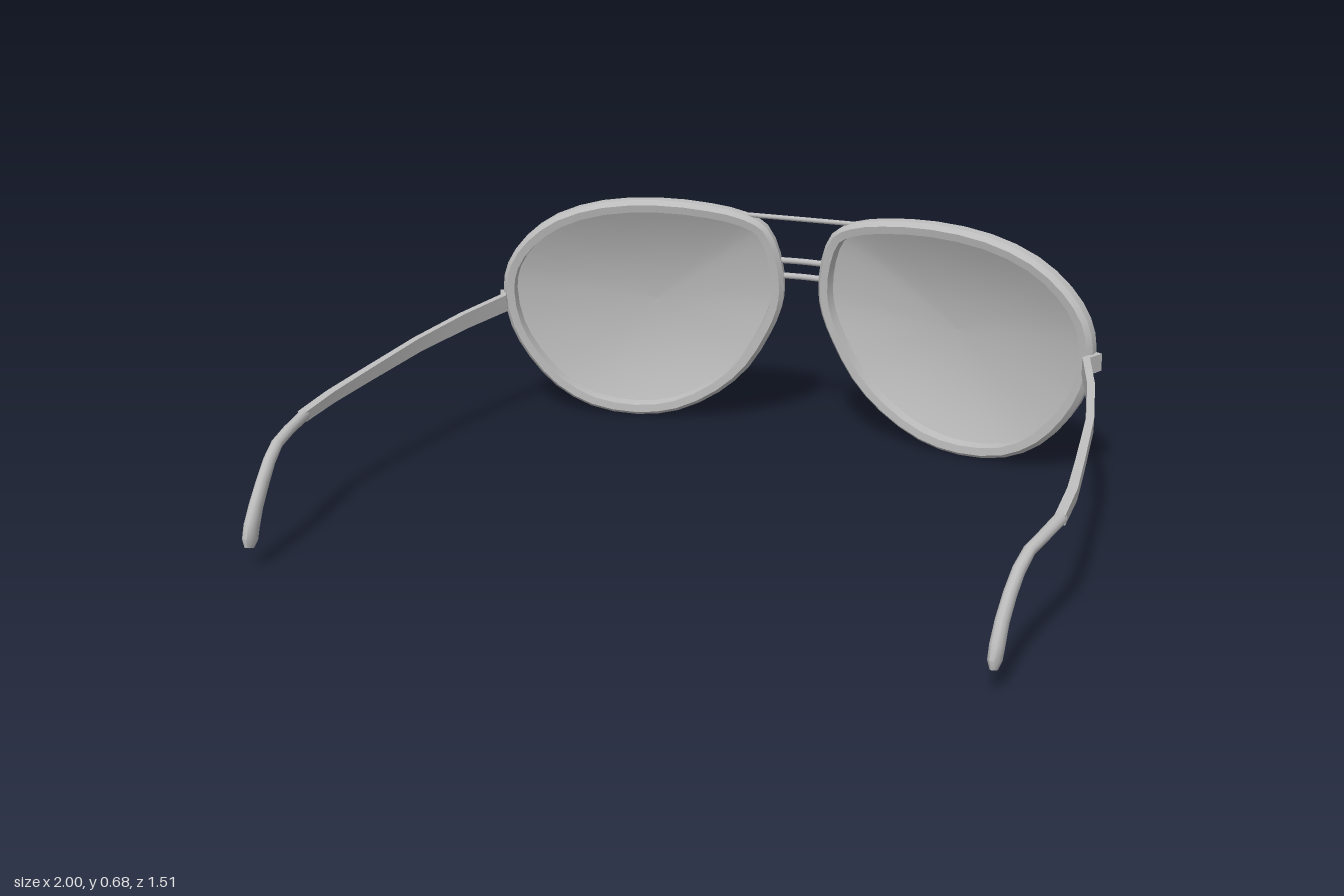
import * as THREE from 'three';
import { toCreasedNormals } from 'three/addons/utils/BufferGeometryUtils.js';

const V = (x, y, z) => new THREE.Vector3(x, y, z);

// Skin a list of vertex rings; side = -1 mirrors across x
function loft(rings, { side = 1, closed = false, caps = true, crease = 0.6 } = {}) {
  const n = rings[0].length, m = rings.length, pos = [], index = [];
  const tri = (a, b, c) => (side > 0 ? index.push(a, b, c) : index.push(a, c, b));
  rings.forEach((r) => r.forEach((p) => pos.push(p.x * side, p.y, p.z)));
  for (let i = 0; i < (closed ? m : m - 1); i++) {
    const a = i * n, b = ((i + 1) % m) * n;
    for (let j = 0; j < n; j++) {
      const k = (j + 1) % n;
      tri(a + j, a + k, b + k);
      tri(a + j, b + k, b + j);
    }
  }
  if (caps && !closed) {
    const e = (m - 1) * n;
    for (let j = 1; j < n - 1; j++) {
      tri(0, j + 1, j);
      tri(e, e + j, e + j + 1);
    }
  }
  const g = new THREE.BufferGeometry();
  g.setAttribute('position', new THREE.Float32BufferAttribute(pos, 3));
  g.setIndex(index);
  g.computeVertexNormals();
  return crease ? toCreasedNormals(g, crease) : g;
}

// Sweep along stations [x, y, z, half width, half height]
function sweep(stations, sides, side) {
  const pts = stations.map((s) => V(s[0], s[1], s[2]));
  const k = sides === 4 ? Math.SQRT2 : 1, off = sides === 4 ? Math.PI / 4 : 0;
  const rings = stations.map((s, i) => {
    const t = pts[Math.min(i + 1, pts.length - 1)].clone().sub(pts[Math.max(i - 1, 0)]).normalize();
    const a = V(0, 1, 0).cross(t).normalize(), b = t.clone().cross(a);
    return Array.from({ length: sides }, (_, j) => {
      const q = off + (j / sides) * Math.PI * 2;
      return pts[i].clone()
        .addScaledVector(a, Math.cos(q) * s[3] * k)
        .addScaledVector(b, Math.sin(q) * s[4] * k);
    });
  });
  return loft(rings, { side, crease: sides === 4 ? 0.6 : 0.9 });
}

// Outer edge of one rim, from the nose over the top, smoothed by a closed curve
const outlineCurve = new THREE.CatmullRomCurve3([
  [0.054, 0.43], [0.065, 0.525], [0.1, 0.607], [0.16, 0.643], [0.26, 0.665], [0.41, 0.676],
  [0.57, 0.662], [0.705, 0.617], [0.8, 0.547], [0.857, 0.467], [0.876, 0.385], [0.861, 0.27],
  [0.813, 0.172], [0.738, 0.083], [0.635, 0.023], [0.5, 0.003], [0.375, 0.023], [0.25, 0.09],
  [0.16, 0.176], [0.095, 0.285], [0.064, 0.36],
].map(([x, y]) => V(x, y, 0)), true);
const outline = outlineCurve.getPoints(42).slice(0, 42);
const planeZ = (x, y) => -0.735 + 0.2 * (x - 0.055) + 0.09 * (y - 0.38);

// Outline point moved outward by u and along the tilted plane's normal by w
function rimPoint(i, u, w) {
  const n = outline.length, p = outline[i];
  const t = outline[(i + 1) % n].clone().sub(outline[(i + n - 1) % n]).normalize();
  const x = p.x - t.y * u, y = p.y + t.x * u;
  return V(x - 0.2 * w, y - 0.09 * w, planeZ(x, y) + w);
}

// Straight outer wall, bevelled edge and a flat lip facing the wearer
const rimSection = [[0, -0.016], [0, 0.01], [-0.012, 0.023], [-0.034, 0.02], [-0.036, -0.01], [-0.02, -0.018]];

function rimGeometry(side) {
  const rings = outline.map((_, i) => rimSection.map(([u, w]) => rimPoint(i, u, w)));
  return loft(rings, { side, closed: true });
}

// Domed lens bulging forward, away from the temples
function lensGeometry(side) {
  const cx = 0.46, cy = 0.35;
  const rings = [1, 0.9, 0.75, 0.6, 0.45, 0.3, 0.15, 0].map((r) =>
    outline.map((_, i) => {
      const e = rimPoint(i, -0.02, 0);
      const x = cx + (e.x - cx) * r, y = cy + (e.y - cy) * r;
      return V(x, y, planeZ(x, y) - 0.01 - 0.073 * (1 - r * r));
    }));
  return loft(rings, { side, caps: false, crease: 0 });
}

const temple = [
  [0.886, 0.35, -0.585, 0.011, 0.024], [0.862, 0.348, -0.535, 0.01, 0.025],
  [0.908, 0.334, -0.365, 0.01, 0.023], [0.946, 0.317, -0.16, 0.01, 0.02],
  [0.97, 0.297, 0.08, 0.011, 0.017], [0.984, 0.284, 0.24, 0.012, 0.015], [0.985, 0.273, 0.38, 0.012, 0.013],
];
const tip = [
  [0.985, 0.274, 0.37, 0.015, 0.016], [0.969, 0.268, 0.47, 0.015, 0.014], [0.953, 0.26, 0.55, 0.015, 0.014],
  [0.943, 0.234, 0.603, 0.015, 0.018], [0.936, 0.195, 0.648, 0.015, 0.022], [0.931, 0.15, 0.69, 0.016, 0.023],
  [0.929, 0.105, 0.719, 0.017, 0.027], [0.928, 0.075, 0.731, 0.016, 0.028], [0.928, 0.056, 0.737, 0.009, 0.017],
];

export function createModel() {
  const model = new THREE.Group();
  model.name = 'sunglasses';
  const grey = new THREE.MeshStandardMaterial({ color: 0xbcbcbc, side: THREE.DoubleSide });
  grey.name = 'grey';
  const add = (name, geometry) => {
    const mesh = new THREE.Mesh(geometry, grey);
    mesh.name = name;
    model.add(mesh);
    return mesh;
  };

  // Paired parts
  for (const [label, s] of [['left', 1], ['right', -1]]) {
    add(label + 'Rim', rimGeometry(s));
    add(label + 'Lens', lensGeometry(s));
    add(label + 'Hinge', new THREE.CylinderGeometry(0.011, 0.011, 0.05, 10)).position.set(0.874 * s, 0.348, -0.568);
    add(label + 'Temple', sweep(temple, 4, s));
    add(label + 'TempleTip', sweep(tip, 10, s));
  }

  // Brow bar and the two nose bridge bars
  const bar = (name, pts, r) =>
    add(name, new THREE.TubeGeometry(new THREE.CatmullRomCurve3(pts), 10, r, 8));
  bar('browBar', [V(-0.2, 0.642, -0.683), V(-0.1, 0.637, -0.704), V(0.1, 0.637, -0.704), V(0.2, 0.642, -0.683)], 0.007);
  for (const [name, y] of [['upperBridge', 0.505], ['lowerBridge', 0.46]]) {
    bar(name, [V(-0.075, y, -0.73), V(0, y, -0.735), V(0.075, y, -0.73)], 0.009);
  }
  return model;
}
